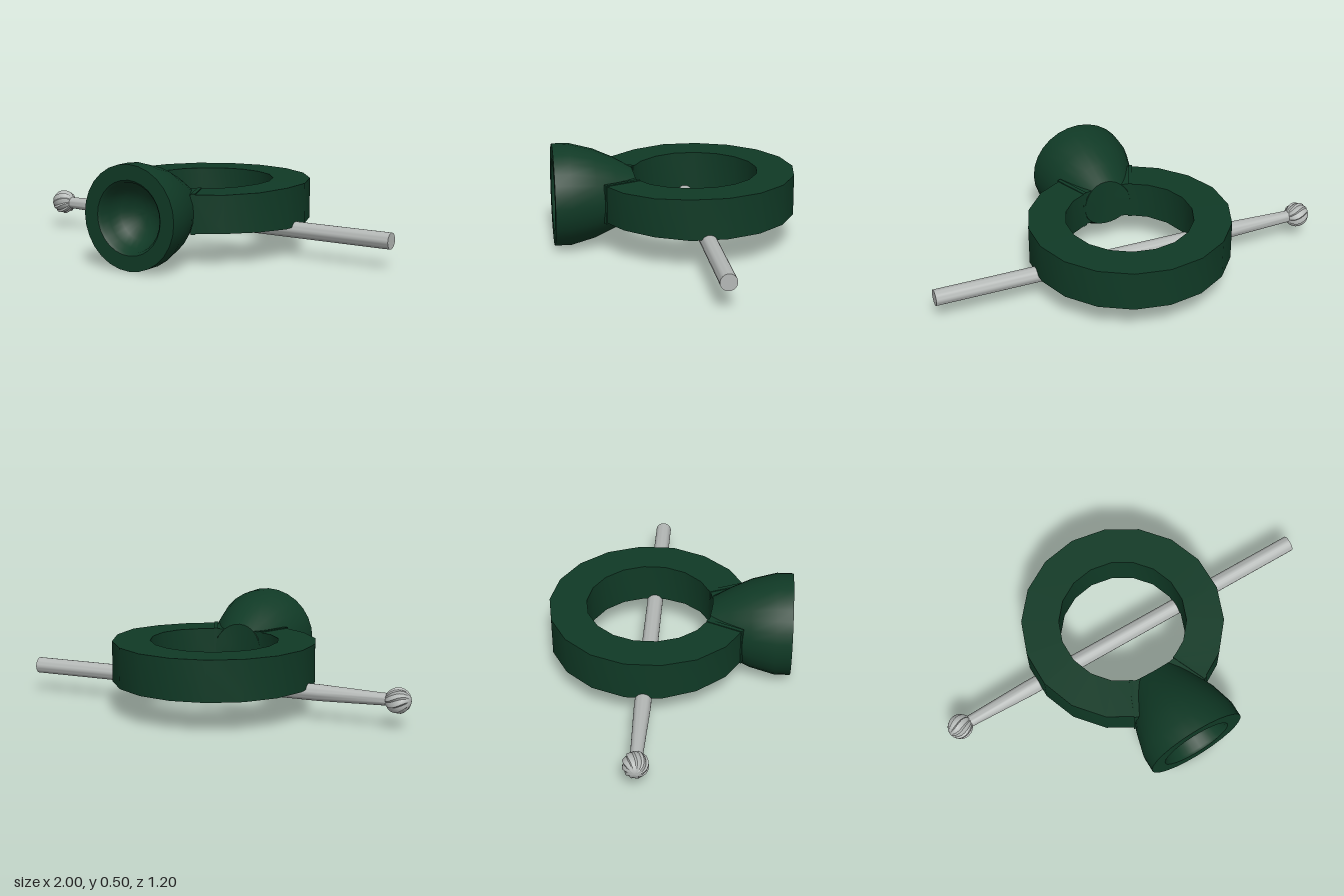
import * as THREE from 'three';
import { toCreasedNormals, mergeVertices } from 'three/addons/utils/BufferGeometryUtils.js';

const V = (x, y) => new THREE.Vector2(x, y);
const MID_Y = 0.256, AXIS_Z = -0.1;

// Move every vertex of a geometry by a rule
function warp(geometry, rule) {
  const p = geometry.attributes.position, v = new THREE.Vector3();
  for (let i = 0; i < p.count; i++) {
    rule(v.fromBufferAttribute(p, i));
    p.setXYZ(i, v.x, v.y, v.z);
  }
  return geometry;
}

export function createModel() {
  const group = new THREE.Group();
  const green = new THREE.MeshStandardMaterial({ color: 0x103a26 });
  green.name = 'dark green';
  const steel = new THREE.MeshStandardMaterial({ color: 0xb4b8b6 });
  steel.name = 'steel grey';

  function add(name, geometry, material, crease = 0.6) {
    const mesh = new THREE.Mesh(toCreasedNormals(geometry, crease), material);
    mesh.name = name;
    group.add(mesh);
    return mesh;
  }

  // Eighteen-sided flat ring, a little thinner towards the front
  const ringGeo = new THREE.LatheGeometry(
    [V(0.315, -0.1), V(0.5, -0.1), V(0.5, 0.1), V(0.315, 0.1), V(0.315, -0.1)], 18);
  warp(ringGeo, v => {
    v.y *= 1 - 0.08 * THREE.MathUtils.clamp((v.z - 0.1) / 0.22, 0, 1);
  });
  add('ring', ringGeo, green).position.set(0, MID_Y, AXIS_Z);

  // Raised lips where the ring meets the cup
  for (const side of [-1, 1]) {
    const a = side * 0.405;
    const lip = add(side > 0 ? 'leftLip' : 'rightLip', new THREE.BoxGeometry(0.02, 0.194, 0.19), green);
    lip.position.set(Math.sin(a) * 0.406, MID_Y, AXIS_Z + Math.cos(a) * 0.406);
    lip.rotation.y = a;
  }

  // Flared cup: outer shell, rim and hollow bowl in one profile
  const cupGeo = new THREE.LatheGeometry([
    V(0, 0.215), V(0.06, 0.215), V(0.122, 0.215), V(0.175, 0.3), V(0.22, 0.4), V(0.252, 0.52), V(0.252, 0.6),
    V(0.178, 0.6), V(0.166, 0.588), V(0.155, 0.54), V(0.125, 0.49), V(0.08, 0.455), V(0.04, 0.44), V(0, 0.435),
  ], 28).rotateX(Math.PI / 2);
  // The small end follows the inner curve of the ring
  warp(cupGeo, v => {
    if (v.z < 0.22) v.z = AXIS_Z + Math.sqrt(0.31 ** 2 - v.x ** 2);
  });
  add('cup', cupGeo, green).position.y = MID_Y;

  // Straight shank narrowing to a neck
  const shankGeo = new THREE.LatheGeometry(
    [V(0, -1), V(0.04, -1), V(0.04, 0.55), V(0.03, 0.86), V(0.03, 0.92), V(0, 0.92)], 24).rotateZ(Math.PI / 2);
  add('shank', shankGeo, steel).position.set(0, 0.14, AXIS_Z);

  // Ball head with twisted cutting flutes
  const FLUTES = 10;
  const headGeo = new THREE.SphereGeometry(0.063, FLUTES * 4, 12);
  warp(headGeo, v => {
    const radius = Math.hypot(v.x, v.z);
    if (radius < 1e-4) return;
    const angle = Math.atan2(v.z, v.x);
    const tooth = ((Math.round(angle / (Math.PI * 2) * FLUTES * 4) % 4) + 4) % 4;
    const scale = [1, 0.96, 0.91, 0.86][tooth];
    const twisted = angle + v.y * 7;
    v.x = Math.cos(twisted) * radius * scale;
    v.z = Math.sin(twisted) * radius * scale;
  });
  headGeo.rotateZ(Math.PI / 2);
  add('cutterHead', headGeo, steel, 0.5).position.set(-0.937, 0.14, AXIS_Z);

  return group;
}
